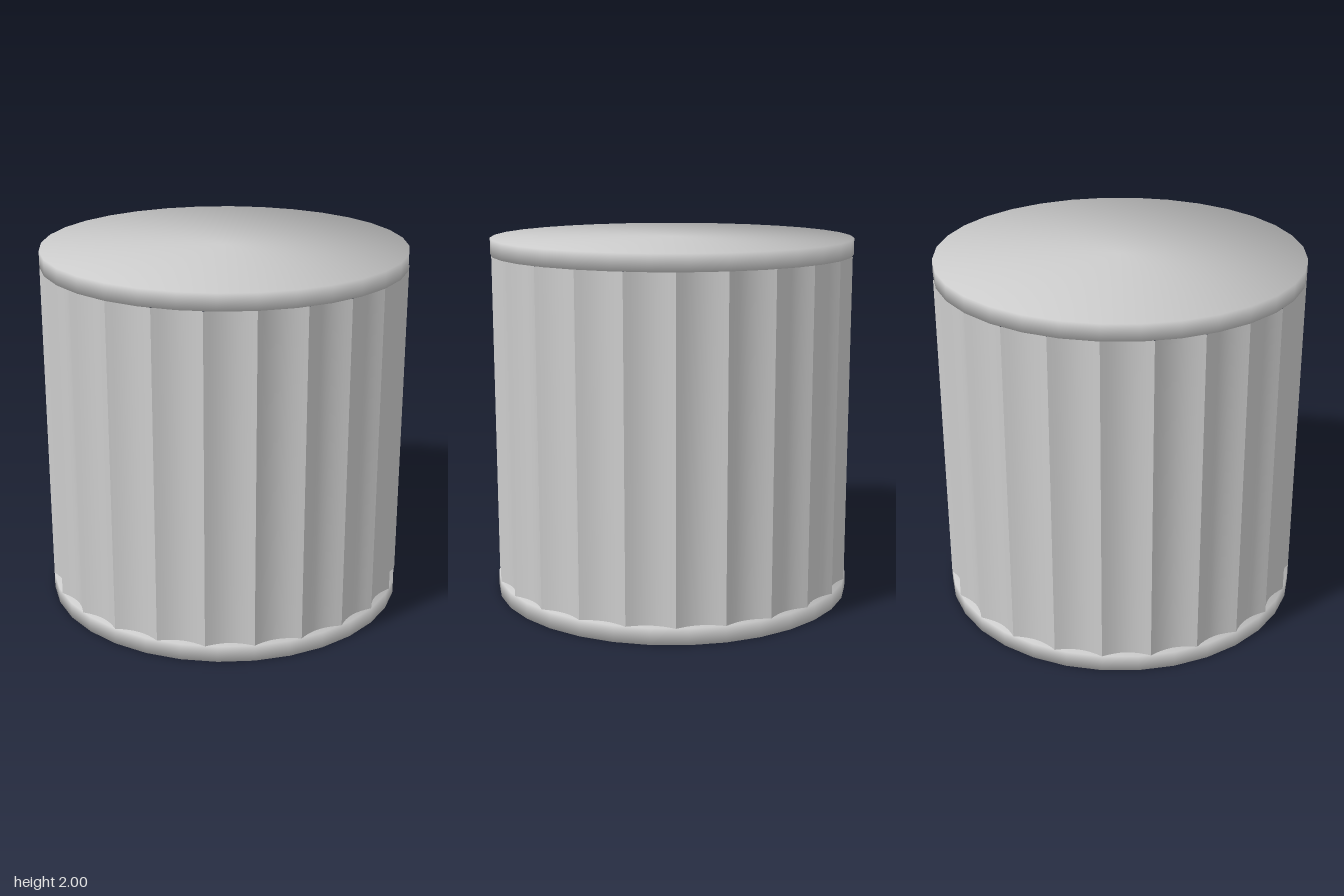
import * as THREE from 'three';
import { mergeVertices } from 'three/addons/utils/BufferGeometryUtils.js';

const FLUTES = 24, DEPTH = 0.04, CAP = 0.09, HEIGHT = 2;
const material = new THREE.MeshStandardMaterial({ color: 0xcccccc });

// One concave flute: a strip bent around the axis, sunk between its two ridges
function fluteGeometry() {
  const geo = new THREE.PlaneGeometry(2, HEIGHT - 2 * CAP, 8, 1);
  const pos = geo.attributes.position;
  for (let i = 0; i < pos.count; i++) {
    const u = pos.getX(i);
    const angle = u * Math.PI / FLUTES;
    const r = 1 - DEPTH * (1 - u * u);
    pos.setXYZ(i, r * Math.sin(angle), pos.getY(i), r * Math.cos(angle));
  }
  geo.computeVertexNormals();
  return geo;
}

// Round plate with soft shading carried over its rim
function plateGeometry() {
  let geo = new THREE.CylinderGeometry(1, 1, CAP, 32);
  geo.deleteAttribute('normal');
  geo.deleteAttribute('uv');
  geo = mergeVertices(geo);
  geo.computeVertexNormals();
  const pos = geo.attributes.position, n = new THREE.Vector3();
  for (let i = 0; i < pos.count; i++) {
    n.set(pos.getX(i), Math.sign(pos.getY(i)), pos.getZ(i)).normalize();
    geo.attributes.normal.setXYZ(i, n.x, n.y, n.z);
  }
  return geo;
}

export function createModel() {
  const model = new THREE.Group();
  model.name = 'flutedDrum';

  // Fluted shaft
  const shaft = new THREE.Group();
  shaft.name = 'shaft';
  const flute = fluteGeometry();
  for (let i = 0; i < FLUTES; i++) {
    const mesh = new THREE.Mesh(flute, material);
    mesh.name = 'flute';
    mesh.rotation.y = (i + 0.5) * 2 * Math.PI / FLUTES;
    mesh.position.y = HEIGHT / 2;
    shaft.add(mesh);
  }
  model.add(shaft);

  // Plates closing both ends
  const plate = plateGeometry();
  for (const [name, y] of [['bottomPlate', CAP / 2], ['topPlate', HEIGHT - CAP / 2]]) {
    const mesh = new THREE.Mesh(plate, material);
    mesh.name = name;
    mesh.position.y = y;
    model.add(mesh);
  }
  return model;
}
